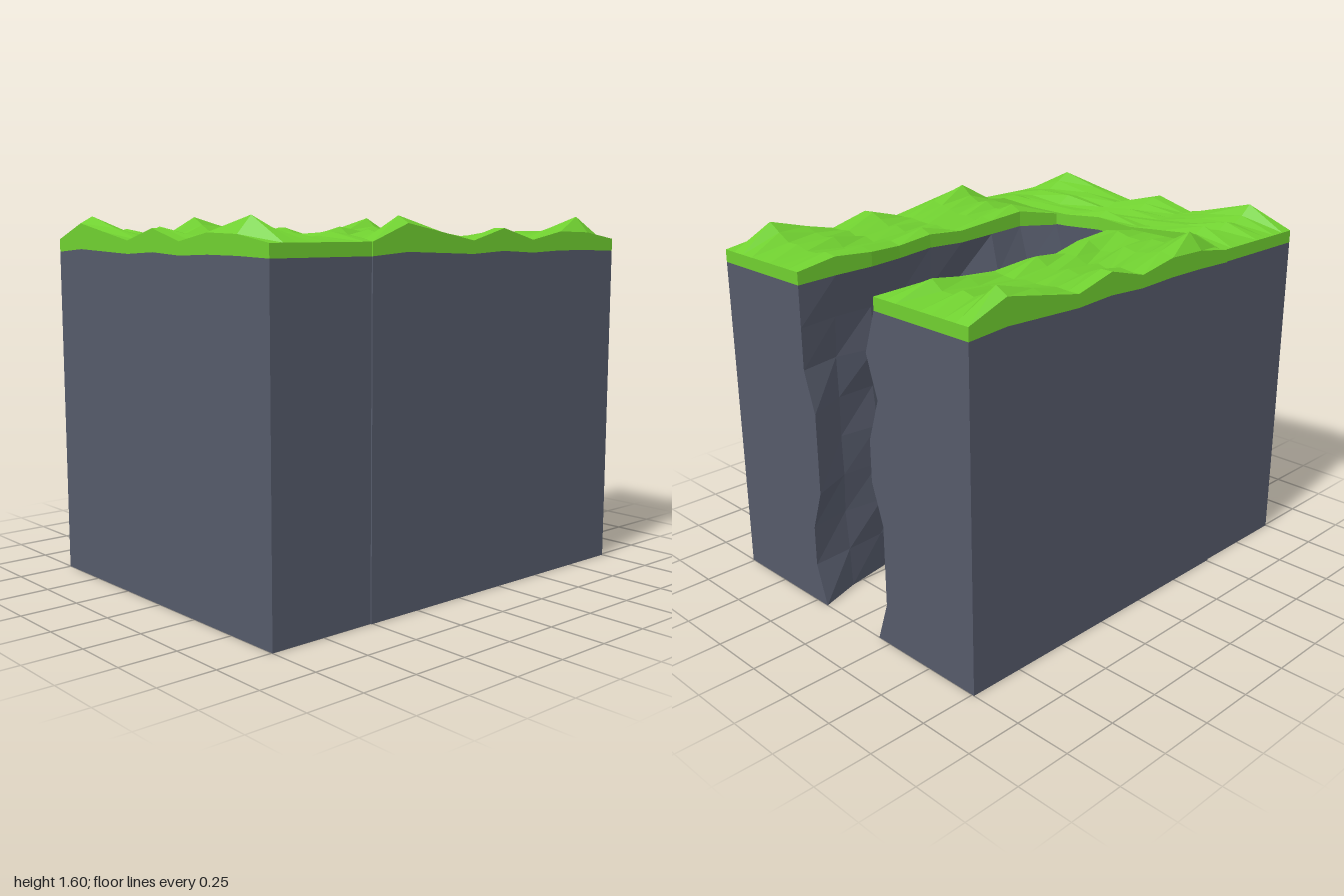
import * as THREE from 'three';

const LENGTH = 1.508, N = 8, ROWS = 8;

// Profiles along the length (9 stations) and across the depth (outer edge to inner edge)
const DEPTH = [0.52, 0.46, 0.46, 0.46, 0.46, 0.475, 0.52, 0.52, 0.52];
const BULGE = [0.06, 0.06, 0.06, 0.03, 0, 0, 0, 0, 0.06];
const HILL = [0, 1, 0.5, 0, 0.5, 0, 0.5, 1, 0];
const RIDGE = [0.07, 0.1, 0.06, 0.04, 0.05, 0.03, 0.01, 0.05, 0.03];

// Repeatable noise in 0..1
function noise(a, b) {
  const s = Math.sin(a * 127.1 + b * 311.7) * 43758.5453;
  return s - Math.floor(s);
}

// Height of the turf surface at station i, row j
function turfTop(i, j) {
  let h = 1.5 + HILL[i] * RIDGE[j];
  if (j === 0 && i === 4) h = 1.55;
  if (j === 0 && i === 7) h = 1.53;
  const inside = i > 0 && i < N && j > 1 && j < ROWS;
  if (inside) h += (noise(i, j) - 0.6) * 0.03;
  return h;
}

// Line where rock meets turf
const seam = (i) => 1.445 + 0.2 * (turfTop(i, 0) - 1.5);

// Cross-sections as [depth, height] loops, running up the outside and down the inside
function rockSection(i) {
  const pts = [[0, 0]];
  pts.push([0, seam(i)]);
  for (let k = 0; k <= ROWS; k++) {
    const y = seam(i) * (1 - k / ROWS);
    let d = DEPTH[i];
    if (k > 0) {
      const out = noise(i + 3, k + 11) > 0.45 ? 1 : 0;
      d += BULGE[i] * out - (i > 0 && i < N ? 0.04 * noise(i + 20, k) : 0);
    }
    pts.push([d, y]);
  }
  return pts;
}

function turfSection(i) {
  const pts = [[0, seam(i)]];
  for (let j = 0; j <= ROWS; j++) pts.push([(DEPTH[i] * j) / ROWS, turfTop(i, j)]);
  pts.push([DEPTH[i], seam(i)]);
  return pts;
}

// Skin a run of cross-sections and close both ends
function loft(section) {
  const pos = [], index = [];
  const m = section(0).length;
  for (let i = 0; i <= N; i++) {
    const x = (i / N - 0.5) * LENGTH;
    for (const [d, y] of section(i)) pos.push(x, y, -d);
  }
  for (let i = 0; i < N; i++) {
    for (let j = 0; j < m; j++) {
      const a = i * m + j, b = i * m + ((j + 1) % m);
      const c = b + m, d = a + m;
      index.push(a, d, c, a, c, b);
    }
  }
  for (const i of [0, N]) {
    const contour = section(i).map(([d, y]) => new THREE.Vector2(d, y)).reverse();
    for (const tri of THREE.ShapeUtils.triangulateShape(contour, [])) {
      const [a, b, c] = tri.map((k) => i * m + (m - 1 - k));
      if (i === N) index.push(a, b, c);
      else index.push(a, c, b);
    }
  }
  const geo = new THREE.BufferGeometry();
  geo.setAttribute('position', new THREE.Float32BufferAttribute(pos, 3));
  geo.setIndex(index);
  const flat = geo.toNonIndexed();
  flat.computeVertexNormals();
  return flat;
}

export function createModel() {
  const model = new THREE.Group();
  model.name = 'cliffBay';
  const rockMat = new THREE.MeshStandardMaterial({ color: 0x555a6a, flatShading: true });
  const turfMat = new THREE.MeshStandardMaterial({ color: 0x70d030, flatShading: true });
  const rockGeo = loft(rockSection);
  const turfGeo = loft(turfSection);

  // The same cliff wall is placed on three sides, its rough face inward
  function addWall(name, x, z, turn) {
    const wall = new THREE.Group();
    wall.name = name;
    const rock = new THREE.Mesh(rockGeo, rockMat);
    rock.name = 'rock';
    const turf = new THREE.Mesh(turfGeo, turfMat);
    turf.name = 'turf';
    wall.add(rock, turf);
    wall.position.set(x, 0, z);
    wall.rotation.y = turn;
    model.add(wall);
  }
  addWall('frontCliff', 0, 1, 0);
  addWall('leftCliff', 0.76, -0.246, Math.PI / 2);
  addWall('rightCliff', -0.76, -0.246, -Math.PI / 2);
  return model;
}
